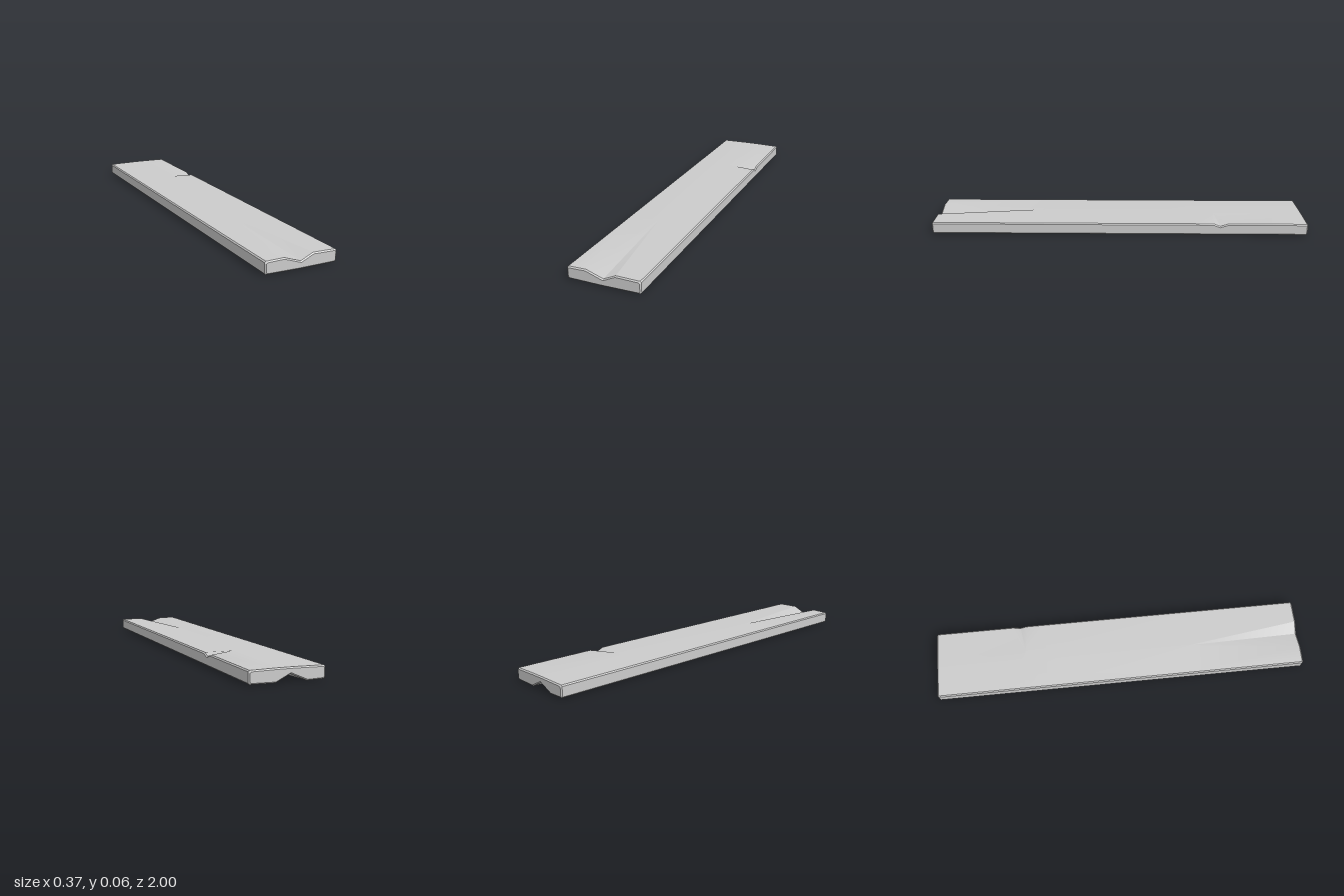
import * as THREE from 'three';
import { toCreasedNormals } from 'three/addons/utils/BufferGeometryUtils.js';

const W = 0.183, H = 0.065, C = 0.006; // half width, thickness, bevel
const NICK = { '-0.5': -0.508, '-0.535': -0.512, '-0.58': -0.516 }; // edge z -> inner z

// One cross-section of the plank, counter-clockwise seen from the front.
function section(z) {
  const inset = Math.abs(z) === 1 ? C : 0;
  const w = W - inset, lo = inset, hi = H - inset;
  const split = (s) => Math.max(0.01, Math.min(1, (s - 0.4) / 0.594));
  const top = split(z), under = split(-z);
  const topCut = z > 0.4 ? 0.029 * top : 0;
  const underCut = z < -0.4 ? 0.035 * under : 0;
  const mix = THREE.MathUtils.lerp;
  const nickZ = NICK[z] ?? z;
  const dip = z === -0.535 ? 0.014 : 0;
  const topRight = z <= -0.4 ? 0.04 : mix(-0.02, 0.06, top);
  const crown = 0.002;
  return [
    // underside, left to right, with the split at the back end
    [-w + C, lo + crown, z],
    [mix(-0.015, -0.095, under), lo, z],
    [-0.014, lo + underCut, z],
    [mix(-0.013, 0.057, under), lo, z],
    [w - C, lo + crown, z],
    // right side, dipping at the nick
    [w, lo + C + crown, z],
    [w, hi - C - crown - dip, z],
    // top, right to left, with the split at the front end
    [w - C, hi - crown - dip, z],
    [topRight, hi, nickZ],
    [mix(-0.021, -0.002, top), hi - topCut, z],
    [mix(-0.022, -0.088, top), hi, z],
    [-w + C, hi - crown, z],
    // left side
    [-w, hi - C - crown, z],
    [-w, lo + C + crown, z],
  ];
}

function plankGeometry() {
  const rows = [1, 0.994, 0.4, -0.4, -0.5, -0.535, -0.58, -0.994, -1].map(section);
  const n = rows[0].length;
  const index = [];
  const quad = (a, b, c, d) => index.push(a, b, c, a, c, d);

  // skin between neighbouring sections
  for (let r = 0; r < rows.length - 1; r++) {
    for (let i = 0; i < n; i++) {
      const j = (i + 1) % n;
      quad(r * n + i, (r + 1) * n + i, (r + 1) * n + j, r * n + j);
    }
  }
  // end faces, filled with strips from underside to top
  const strips = [[4, 5, 6, 7], [11, 12, 13, 0]];
  for (let j = 0; j < 4; j++) strips.push([j, j + 1, 10 - j, 11 - j]);
  const last = (rows.length - 1) * n;
  for (const [a, b, c, d] of strips) {
    quad(a, b, c, d);
    quad(last + d, last + c, last + b, last + a);
  }

  const geometry = new THREE.BufferGeometry();
  geometry.setAttribute('position', new THREE.Float32BufferAttribute(rows.flat(2), 3));
  geometry.setIndex(index);
  return toCreasedNormals(geometry, 0.45);
}

export function createModel() {
  const group = new THREE.Group();
  group.name = 'woodenPlank';
  const plank = new THREE.Mesh(plankGeometry(), new THREE.MeshStandardMaterial({ color: 0xcccccc }));
  plank.name = 'plank';
  group.add(plank);
  return group;
}
